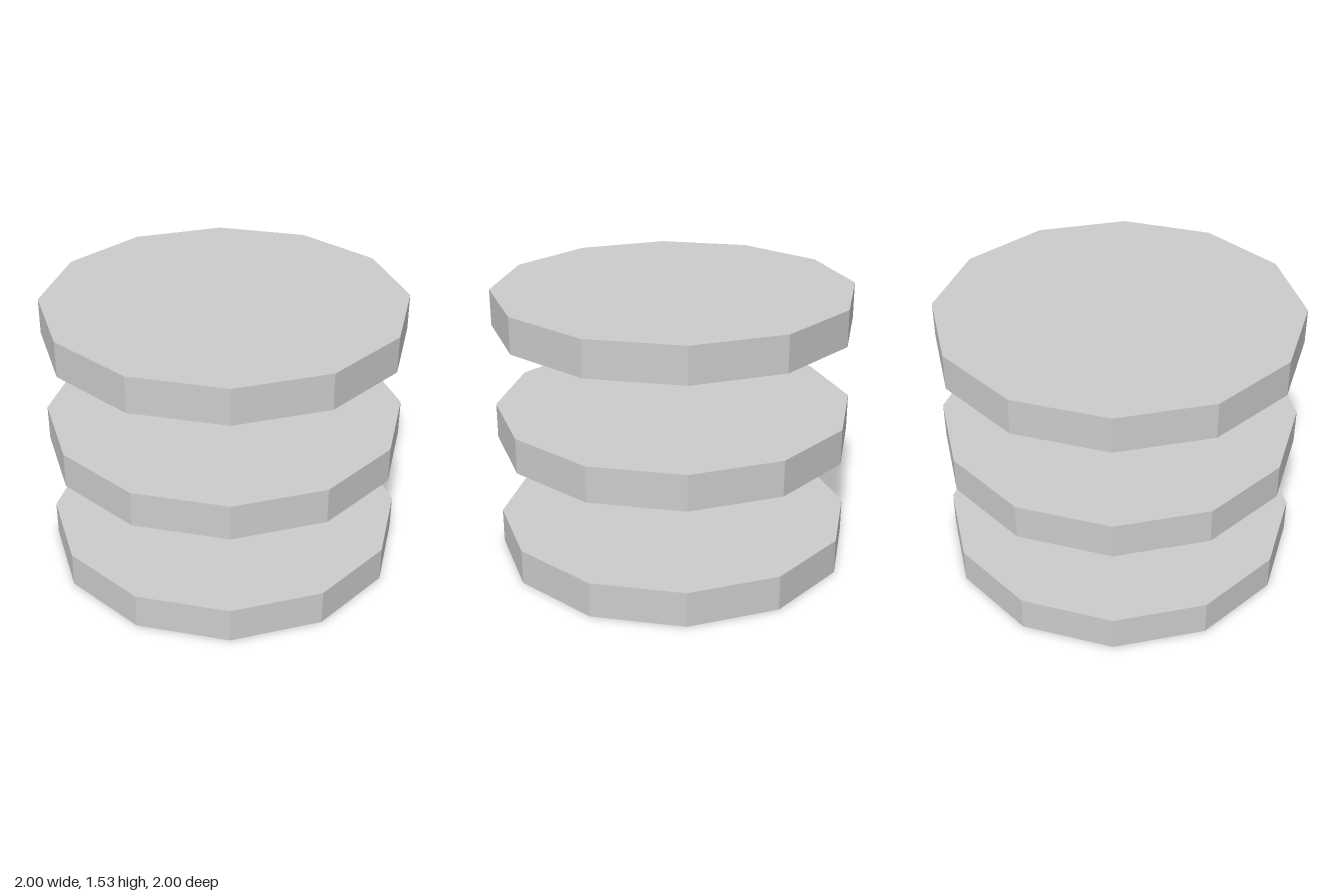
import * as THREE from 'three';

const RADIUS = 1;
const THICKNESS = 0.2;
const SPACING = 2 / 3;
const SIDES = 12;

export function createModel() {
  const model = new THREE.Group();
  model.name = 'stackedDiscs';

  const material = new THREE.MeshStandardMaterial({ color: 0xcccccc, flatShading: true });
  const discGeometry = new THREE.CylinderGeometry(RADIUS, RADIUS, THICKNESS, SIDES);

  // Three identical twelve-sided discs floating at even spacing
  ['bottomDisc', 'middleDisc', 'topDisc'].forEach((name, i) => {
    const disc = new THREE.Mesh(discGeometry, material);
    disc.name = name;
    disc.position.y = THICKNESS / 2 + i * SPACING;
    model.add(disc);
  });

  return model;
}
